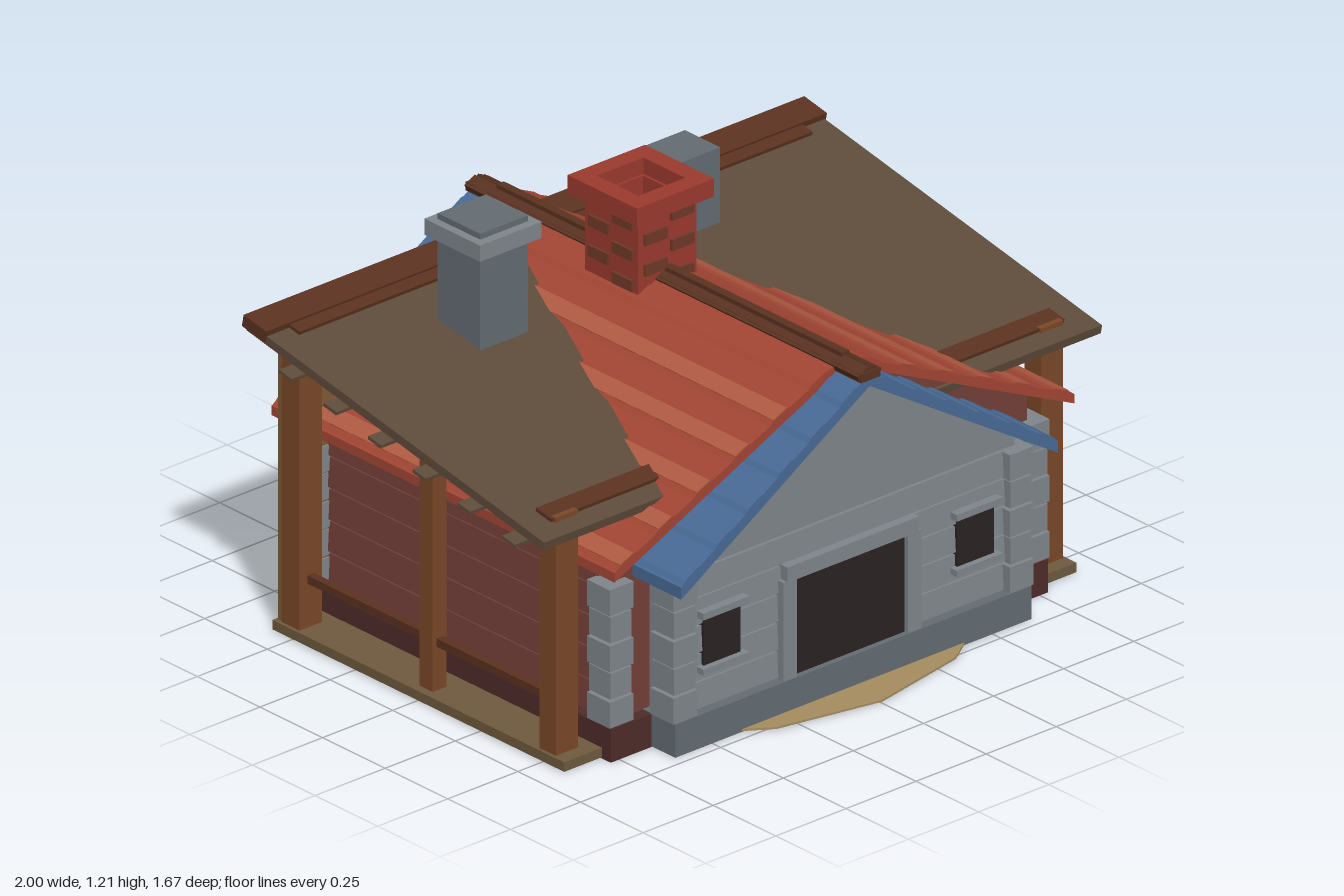
import * as THREE from 'three';

const COLORS = {
  stone: 0x7f868b, stoneDark: 0x646c72, dark: 0x2a2422, redWall: 0x74403a, redBase: 0x4e2c29,
  redRoof: 0xa34634, redLight: 0xb05a42, blue: 0x486a96, brown: 0x5a3220, post: 0x7a4828,
  leanRoof: 0x5e4b3b, deck: 0x6f5a3e, panel: 0x805a33, brick: 0x9c3a2e, brickDark: 0x703828, sand: 0xa58c5f,
};
const materials = {};
const mat = (c) => (materials[c] ??= new THREE.MeshStandardMaterial({ color: COLORS[c], flatShading: true }));

export function createModel() {
  const model = new THREE.Group();
  model.name = 'cabin';

  const add = (name, color, geometry, x = 0, y = 0, z = 0) => {
    const mesh = new THREE.Mesh(geometry, mat(color));
    mesh.name = name;
    mesh.position.set(x, y, z);
    model.add(mesh);
    return mesh;
  };
  // Box given by its extents on each axis
  const box = (name, color, [x0, x1], [y0, y1], [z0, z1]) =>
    add(name, color, new THREE.BoxGeometry(x1 - x0, y1 - y0, z1 - z0),
      (x0 + x1) / 2, (y0 + y1) / 2, (z0 + z1) / 2);
  // Profile in x and y, extruded along z about the centre
  const extrude = (name, color, points, halfDepth) => {
    const shape = new THREE.Shape(points.map(([x, y]) => new THREE.Vector2(x, y)));
    const geometry = new THREE.ExtrudeGeometry(shape, { depth: halfDepth * 2, bevelEnabled: false });
    return add(name, color, geometry, 0, 0, -halfDepth);
  };
  const gabledBody = (name, color, w, eave, peak, halfDepth) =>
    extrude(name, color, [[-w, 0.05], [w, 0.05], [w, eave], [0, peak], [-w, eave]], halfDepth);
  // One pitch of a roof with slightly raised courses along the slope
  const roofPitch = (name, color, s, halfW, eave, peak, thick, courses, halfDepth) => {
    const at = (t, lift) => [s * halfW * t, peak + (eave - peak) * t + lift];
    const points = [at(0, -thick), at(0, 0)];
    for (let i = 0; i < courses; i++) {
      points.push(at((i + 0.4) / courses, 0.001), at((i + 0.5) / courses, 0.006),
        at((i + 0.85) / courses, 0.006), at((i + 0.95) / courses, 0));
    }
    points.push(at(1, 0), at(1, -thick));
    extrude(name, color, points, halfDepth);
  };
  // Corner stack of alternating blocks
  const cornerStack = (name, x, z, w) => {
    for (let i = 0; i < 5; i++) {
      const y = 0.1 + i * 0.083;
      const g = i % 2 ? 0.005 : 0;
      for (const sx of [-1, 1]) for (const sz of [-1, 1]) {
        const block = new THREE.BoxGeometry(w - g * 2, 0.077, 0.092 - g);
        add(name, 'stone', block, sx * x, y + 0.0405, sz * z);
      }
    }
  };

  // Ground
  const ground = new THREE.CylinderGeometry(0.835, 0.835, 0.006, 16);
  add('groundDisc', 'sand', ground, 0, 0.007, 0);

  // Stone house
  box('stoneFoundation', 'stoneDark', [-0.635, 0.635], [0.002, 0.1], [-0.72, 0.72]);
  gabledBody('stoneHouse', 'stone', 0.61, 0.53, 0.925, 0.68);
  for (let i = 0; i < 5; i++) {
    const y = 0.1 + i * 0.083;
    for (const s of [-1, 1]) {
      const plank = add('stonePlank', 'stone', new THREE.BoxGeometry(1.13, 0.075, 0.022), 0, y + 0.042, s * 0.683);
      plank.rotation.x = -s * 0.06;
    }
  }
  cornerStack('stoneCorner', 0.6, 0.675, 0.085);

  // Red house
  box('redFoundation', 'redBase', [-0.78, 0.78], [0, 0.098], [-0.625, 0.625]);
  gabledBody('redHouse', 'redWall', 0.735, 0.585, 0.94, 0.59);
  for (let i = 0; i < 5; i++) {
    for (const s of [-1, 1]) {
      const plank = add('redPlank', 'redWall', new THREE.BoxGeometry(0.022, 0.088, 1.08), s * 0.738, 0.145 + i * 0.095, 0);
      plank.rotation.z = s * 0.06;
    }
  }
  cornerStack('redHouseCorner', 0.742, 0.58, 0.085);

  // Gabled roofs and ridge timbers
  for (const s of [-1, 1]) {
    roofPitch('blueRoof', 'blue', s, 0.672, 0.54, 0.955, 0.035, 6, 0.785);
    roofPitch('redRoof', 'redRoof', s, 0.82, 0.595, 0.972, 0.028, 6, 0.685);
    // Lighter bands on the red roof
    for (let i = 1; i < 6; i++) {
      const t = (i + 0.675) / 6;
      const band = add('redRoofBand', 'redLight', new THREE.BoxGeometry(0.052, 0.004, 1.368),
        s * 0.82 * t, 0.972 - 0.377 * t + 0.006, 0);
      band.rotation.z = -s * Math.atan(0.377 / 0.82);
    }
    const ridge = add('ridgeBoard', 'brown', new THREE.BoxGeometry(0.042, 0.02, 1.57), s * 0.02, 0.96, 0);
    ridge.rotation.z = -s * 0.45;
  }
  box('ridgePole', 'brown', [-0.013, 0.013], [0.95, 0.987], [-0.69, 0.69]);
  box('ridgeEnd', 'brown', [-0.035, 0.035], [0.94, 0.965], [-0.79, 0.79]);

  // Door and windows
  box('doorOpening', 'dark', [-0.2, 0.2], [0.1, 0.39], [0.6, 0.703]);
  box('doorLintel', 'stone', [-0.235, 0.235], [0.39, 0.435], [0.68, 0.72]);
  for (const s of [-1, 1]) {
    box('doorJamb', 'stone', [s * 0.222 - 0.024, s * 0.222 + 0.024], [0.1, 0.392], [0.68, 0.716]);
    const x = s * 0.452;
    box('windowOpening', 'dark', [x - 0.065, x + 0.065], [0.23, 0.375], [0.6, 0.702]);
    box('windowLintel', 'stone', [x - 0.083, x + 0.083], [0.375, 0.395], [0.68, 0.72]);
    box('windowSill', 'stone', [x - 0.083, x + 0.083], [0.212, 0.23], [0.68, 0.72]);
  }

  // Lean-to: deck, posts, rails and back panel
  box('deck', 'deck', [-0.915, 0.912], [0.004, 0.032], [-0.575, 0.59]);
  for (const s of [-1, 1]) {
    const x = s * 0.865;
    box('frontPost', 'post', [x - 0.04, x + 0.04], [0.03, 0.735], [0.48, 0.545]);
    box('middlePost', 'post', [x - 0.025, x + 0.025], [0.03, 0.7], [-0.015, 0.037]);
    box('backPost', 'post', [x - 0.04, x + 0.04], [0.03, 0.895], [-0.55, -0.478]);
    box('rail', 'brown', [x - 0.012, x + 0.012], [0.162, 0.186], [-0.49, 0.51]);
  }
  box('backPanel', 'panel', [-0.9, 0.9], [0.03, 0.89], [-0.57, -0.54]);

  // Lean-to roof, its beams and purlins
  const pitch = 0.187;
  const roofY = (z) => 0.81 - Math.tan(pitch) * (z - 0.005);
  const slopedBox = (name, color, w, h, d, y, z) => {
    add(name, color, new THREE.BoxGeometry(w, h, d), 0, y, z).rotation.x = pitch;
  };
  slopedBox('leanToRoof', 'leanRoof', 1.99, 0.026, 1.205, roofY(0.005), 0.005);
  slopedBox('backRidgeBeam', 'brown', 2, 0.036, 0.092, 0.928, -0.553);
  slopedBox('frontHeader', 'brown', 1.83, 0.035, 0.062, roofY(0.505) + 0.006, 0.505);
  slopedBox('backHeader', 'brown', 1.83, 0.035, 0.062, roofY(-0.5) + 0.006, -0.5);
  for (let i = 0; i < 6; i++) {
    const z = 0.45 - i * 0.178;
    slopedBox('purlin', 'leanRoof', 1.98, 0.01, 0.052, roofY(z) - 0.068, z);
  }

  // Grey chimneys
  box('leftStack', 'stoneDark', [0.285, 0.425], [0.72, 1.1], [-0.428, -0.287]);
  box('rightStack', 'stoneDark', [-0.54, -0.37], [0.72, 1.14], [-0.335, -0.165]);
  box('rightStackCap', 'stone', [-0.565, -0.345], [1.135, 1.183], [-0.36, -0.138]);
  box('rightStackTop', 'stoneDark', [-0.54, -0.37], [1.18, 1.2], [-0.335, -0.165]);

  // Hollow brick chimney, four walls and a wider cap
  const cz = -0.128;
  const ring = (name, color, half, inner, y) => {
    for (const s of [-1, 1]) {
      const a = s < 0 ? [-half, -inner] : [inner, half];
      box(name, color, a, y, [cz - half, cz + half]);
      box(name, color, [-inner, inner], y, a.map((v) => v + cz));
    }
  };
  ring('brickShaft', 'brick', 0.105, 0.075, [0.86, 1.16]);
  ring('brickCap', 'brick', 0.138, 0.083, [1.155, 1.208]);
  box('flueFloor', 'brickDark', [-0.08, 0.08], [0.9, 0.97], [cz - 0.08, cz + 0.08]);
  // Protruding bricks around the shaft
  for (let row = 0; row < 5; row++) {
    const y = [0.935 + row * 0.045, 0.968 + row * 0.045];
    const c = row % 2 ? -0.045 : 0.05;
    for (const s of [-1, 1]) {
      const face = s < 0 ? [-0.114, -0.1] : [0.1, 0.114];
      box('brick', 'brickDark', [s * c - 0.04, s * c + 0.04], y, face.map((v) => v + cz));
      box('brick', 'brickDark', face, y, [cz - s * c - 0.04, cz - s * c + 0.04]);
    }
  }
  return model;
}
